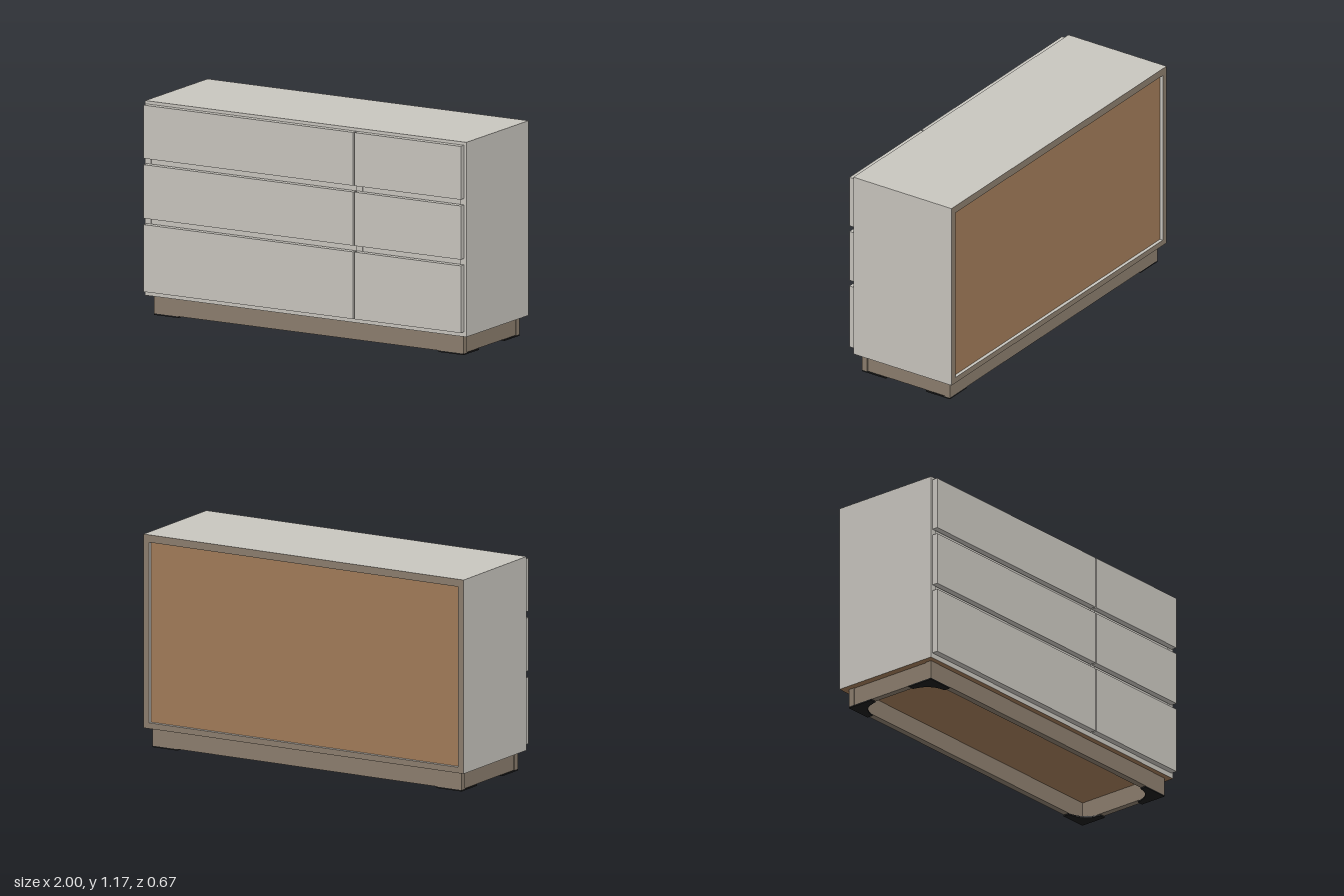
import * as THREE from 'three';

export function createModel() {
  const model = new THREE.Group();
  model.name = 'dresser';

  const mat = (name, color) => {
    const m = new THREE.MeshStandardMaterial({ color });
    m.name = name;
    return m;
  };
  const paint = mat('pale grey paint', 0xc9c6bf);
  const taupe = mat('taupe board', 0x8c7e6e);
  const wood = mat('brown fibreboard', 0xa27c59);
  const black = mat('black rubber', 0x1c1c1c);

  // Box given by its minimum and maximum corners
  const box = (name, [x0, x1], [y0, y1], [z0, z1], material, parent = model) => {
    const mesh = new THREE.Mesh(new THREE.BoxGeometry(x1 - x0, y1 - y0, z1 - z0), material);
    mesh.position.set((x0 + x1) / 2, (y0 + y1) / 2, (z0 + z1) / 2);
    mesh.name = name;
    parent.add(mesh);
    return mesh;
  };

  // Carcass: painted faces with raw back edges (faces: +x -x +y -y +z -z)
  const rawBack = [paint, paint, paint, paint, paint, taupe];
  const rawBackAndBase = [paint, paint, paint, wood, paint, taupe];
  const depth = [-0.335, 0.3];
  box('topBoard', [-1, 1], [1.126, 1.167], depth, rawBack);
  box('bottomBoard', [-1, 1], [0.108, 0.14], depth, rawBackAndBase);
  box('leftSide', [0.965, 1], [0.14, 1.126], depth, rawBack);
  box('rightSide', [-1, -0.965], [0.14, 1.126], depth, rawBack);
  box('divider', [0.317, 0.352], [0.14, 1.126], [-0.31, 0.3], paint);
  box('backPanel', [-0.965, 0.965], [0.14, 1.126], [-0.316, -0.308], wood);

  // Drawer fronts, two columns of three
  const columns = [[-0.99, 0.317], [0.325, 0.987]];
  const rows = [[0.135, 0.5], [0.534, 0.826], [0.86, 1.15]];
  for (const column of columns) {
    for (const row of rows) box('drawerFront', column, row, [0.301, 0.335], paint);
  }

  // Rails closing the gaps between drawers
  for (const bay of [[-0.965, 0.317], [0.352, 0.965]]) {
    for (const y of [0.517, 0.843]) box('rail', bay, [y - 0.04, y + 0.04], [0.26, 0.292], paint);
  }

  // Plinth: long front and back boards with shorter ends set between them
  const plinth = new THREE.Group();
  plinth.name = 'plinth';
  model.add(plinth);
  const height = [0.008, 0.108];
  box('plinthFront', [-0.965, 0.965], height, [0.235, 0.27], taupe, plinth);
  box('plinthBack', [-0.965, 0.965], height, [-0.3, -0.265], taupe, plinth);
  for (const s of [-1, 1]) {
    const ends = [s * 0.925, s * 0.96].sort((a, b) => a - b);
    box('plinthEnd', ends, height, [-0.265, 0.235], taupe, plinth);
  }

  // Corner feet: thin L-shaped pads with a curved inner edge
  const pad = new THREE.Shape();
  pad.moveTo(0, 0);
  pad.lineTo(0.155, 0);
  pad.lineTo(0.155, 0.035);
  pad.quadraticCurveTo(0.05, 0.05, 0.035, 0.155);
  pad.lineTo(0, 0.155);
  pad.closePath();
  const padGeometry = new THREE.ExtrudeGeometry(pad, { depth: 0.008, bevelEnabled: false, curveSegments: 8 });
  padGeometry.rotateX(-Math.PI / 2);
  const corners = [[-0.965, 0.27, 0], [0.965, 0.27, 1], [0.965, -0.3, 2], [-0.965, -0.3, 3]];
  for (const [x, z, turns] of corners) {
    const foot = new THREE.Mesh(padGeometry, black);
    foot.name = 'cornerFoot';
    foot.position.set(x, 0, z);
    foot.rotation.y = turns * Math.PI / 2;
    plinth.add(foot);
  }

  return model;
}
